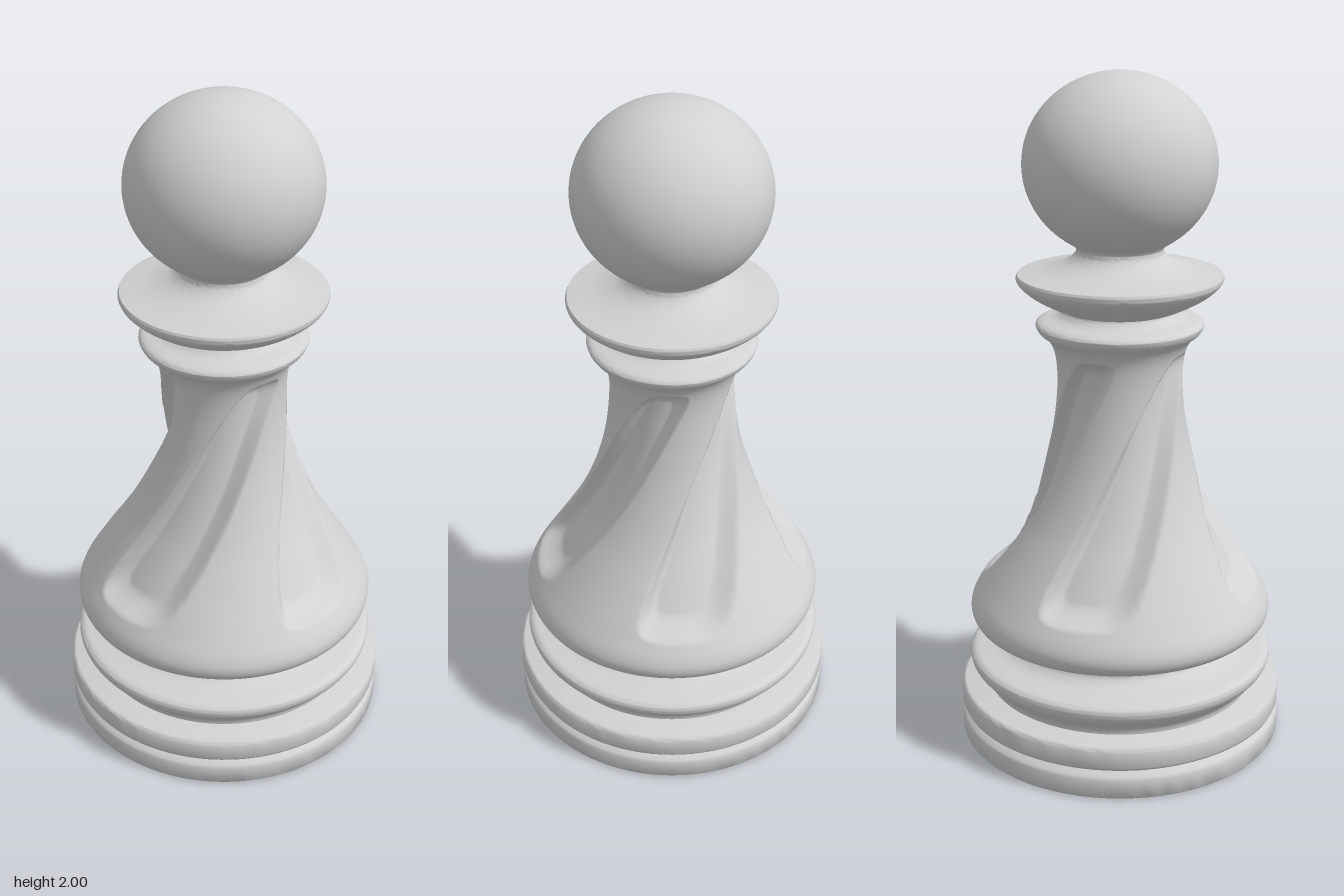
import * as THREE from 'three';
import { mergeVertices, toCreasedNormals } from 'three/addons/utils/BufferGeometryUtils.js';

const V = (r, y) => new THREE.Vector2(r, y);
const smooth = (pts, n) => new THREE.SplineCurve(pts.map(p => V(...p))).getPoints(n);

export function createModel() {
  const group = new THREE.Group();
  const stone = new THREE.MeshStandardMaterial({ color: 0xd2d2d2 });
  stone.name = 'pale grey';

  const add = (name, geometry) => {
    const mesh = new THREE.Mesh(geometry, stone);
    mesh.name = name;
    group.add(mesh);
  };
  const turned = (name, points) =>
    add(name, toCreasedNormals(new THREE.LatheGeometry(points, 96), 0.8));

  // Two stacked discs with a thin groove between them
  turned('base', [
    [0, 0], [0.485, 0], [0.49, 0.006], [0.49, 0.058], [0.486, 0.067], [0.474, 0.074],
    [0.468, 0.08], [0.474, 0.087], [0.486, 0.092], [0.49, 0.1], [0.49, 0.15], [0.486, 0.158],
    [0.478, 0.161], [0, 0.161],
  ].map(p => V(...p)));

  // Flared foot ring with a cove above it
  turned('footRing', [
    ...smooth([[0.405, 0.155], [0.41, 0.18], [0.44, 0.21], [0.458, 0.235], [0.46, 0.258], [0.447, 0.27]], 20),
    ...smooth([[0.435, 0.272], [0.375, 0.285], [0.345, 0.305], [0.34, 0.33], [0.345, 0.35]], 14),
  ]);

  // Bell-shaped body carved with four twisting flutes
  const profile = smooth([
    [0.34, 0.338], [0.40, 0.348], [0.44, 0.368], [0.455, 0.4], [0.446, 0.44], [0.41, 0.5],
    [0.347, 0.6], [0.289, 0.7], [0.245, 0.8], [0.213, 0.9], [0.193, 1.0], [0.184, 1.1],
    [0.188, 1.18], [0.205, 1.23], [0.235, 1.258], [0.245, 1.275],
  ], 170);
  const segments = 256;
  const body = new THREE.LatheGeometry(profile, segments);
  body.deleteAttribute('uv');
  body.deleteAttribute('normal');
  const pos = body.attributes.position;
  const rows = profile.length;
  for (let i = 0; i < pos.count; i++) {
    const degrees = (Math.floor(i / rows) % segments) * 360 / segments;
    const { x: r, y } = profile[i % rows];
    const t = THREE.MathUtils.clamp((y - 0.5) / 0.7, 0, 1);
    // Rows turn with height, so each flute follows the grid columns
    const twist = 12 + 33 * t + 53 * t * t;
    const local = ((degrees + 45) % 90) - 45;
    const u = Math.abs(local) / (20 + 20 * t * (1 - t));
    const v = Math.abs((y - 0.845) / 0.358);
    // One wall is steep, the other slopes gently out of the floor
    const inside = Math.max(0, 1 - u ** (local < 0 ? 6 : 3) - v ** 14);
    const depth = (0.05 - 0.012 * t) * Math.min(1, inside * 1.25);
    const a = THREE.MathUtils.degToRad(degrees + twist);
    pos.setXYZ(i, (r - depth) * Math.sin(a), y, (r - depth) * Math.cos(a));
  }
  const bodyGeometry = mergeVertices(body, 1e-5);
  bodyGeometry.computeVertexNormals();
  add('flutedBody', bodyGeometry);

  // Small ring closing the top of the body
  turned('neckRing', smooth([
    [0.243, 1.27], [0.245, 1.282], [0.23, 1.293], [0.19, 1.303], [0.168, 1.318], [0.163, 1.335],
  ], 20));

  // Wide collar rising into the neck
  turned('collar', [
    ...smooth([[0.16, 1.322], [0.195, 1.336], [0.25, 1.365], [0.288, 1.395], [0.3, 1.415], [0.296, 1.428]], 20),
    ...smooth([[0.285, 1.43], [0.215, 1.443], [0.155, 1.465], [0.128, 1.49], [0.13, 1.508], [0.16, 1.53]], 20),
  ]);

  // Slightly flattened ball
  const head = new THREE.SphereGeometry(0.278, 64, 40);
  head.scale(1, 0.26 / 0.278, 1);
  head.translate(0, 1.74, 0);
  add('head', head);

  return group;
}
